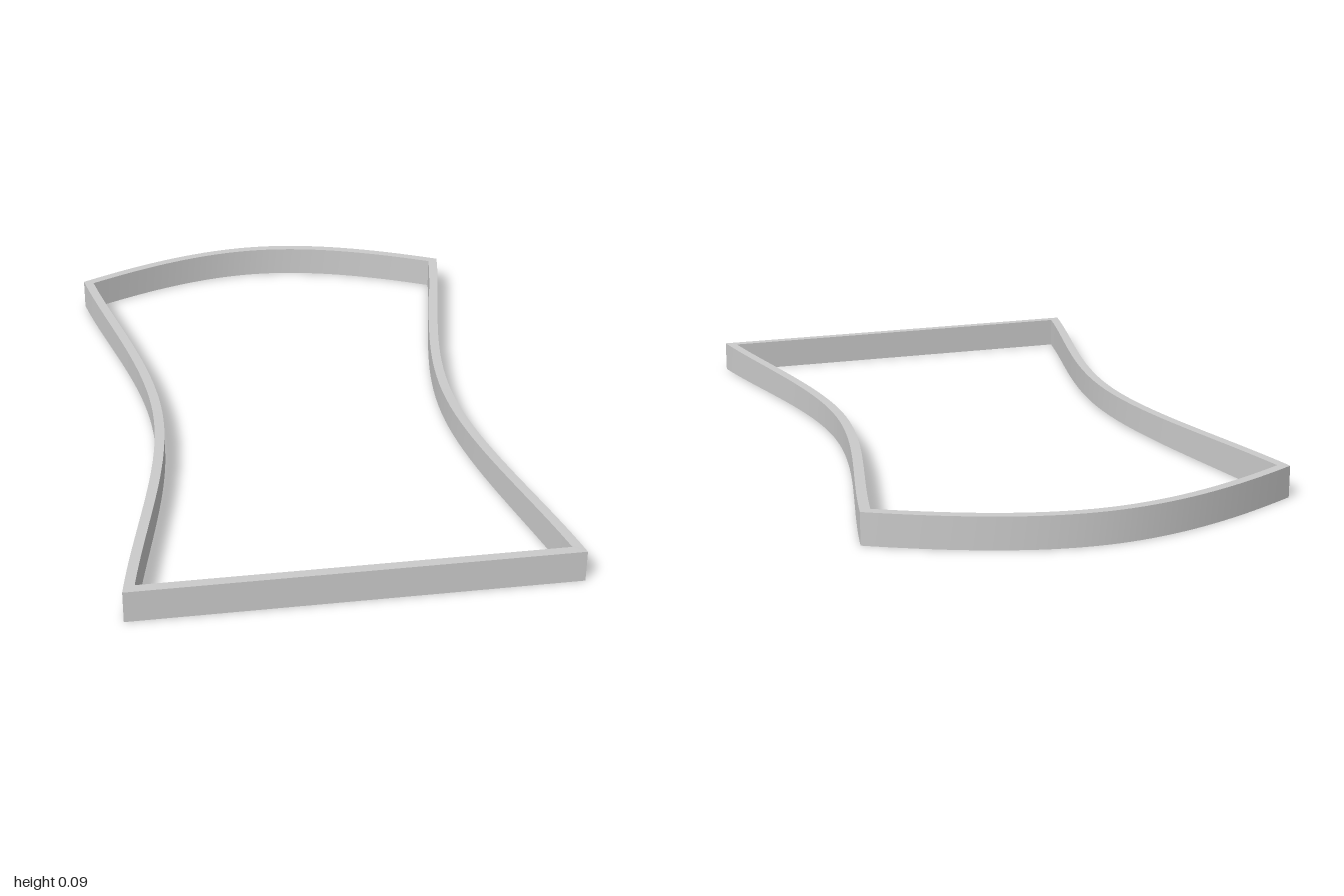
import * as THREE from 'three';
import { toCreasedNormals } from 'three/addons/utils/BufferGeometryUtils.js';

const HEIGHT = 0.09, WALL = 0.028, WAIST_DROP = 0.016, STEPS = 40;

// 1 at both ends of a side, easing to 0 in its middle; k straightens the ends
const bow = (u, k) => {
  const t = 1 - Math.abs(2 * u - 1);
  return (1 - t) ** 2 * (1 + k * t);
};

// Outer outline of each side, counter-clockwise seen from above: [x, z, height]
const rail = (side, u, z) => {
  const f = bow(u, 1);
  return [side * (0.447 + 0.153 * f), z, HEIGHT - WAIST_DROP * (1 - f)];
};
const sides = [
  { name: 'leftRail', n: STEPS, at: u => rail(1, u, 1 - 1.81 * u) },
  { name: 'backArch', n: STEPS, at: u => [0.6 - 1.2 * u, -1 + 0.19 * bow(u, 0.3), HEIGHT] },
  { name: 'rightRail', n: STEPS, at: u => rail(-1, u, -0.81 + 1.81 * u) },
  { name: 'frontBar', n: 1, at: u => [-0.6 + 1.2 * u, 1, HEIGHT] },
];

// Four corners of the bar at a loop point, with the inner wall mitred
function section(loop, i) {
  const n = loop.length;
  const [p, q, r] = [loop[(i + n - 1) % n], loop[i % n], loop[(i + 1) % n]];
  const inward = (a, b) => new THREE.Vector2(b[1] - a[1], a[0] - b[0]).normalize();
  const before = inward(p, q);
  const miter = before.clone().add(inward(q, r)).normalize();
  miter.multiplyScalar(WALL / miter.dot(before));
  const [x, z, h] = q;
  const lo = (HEIGHT - h) / 2, hi = (HEIGHT + h) / 2;
  const ix = x + miter.x, iz = z + miter.y;
  return [[x, lo, z], [x, hi, z], [ix, hi, iz], [ix, lo, iz]];
}

// Skin consecutive sections with quads
function skin(sections) {
  const pos = [];
  for (let i = 0; i + 1 < sections.length; i++) {
    const [s, t] = [sections[i], sections[i + 1]];
    for (let k = 0; k < 4; k++) {
      const m = (k + 1) % 4;
      pos.push(...s[k], ...t[k], ...t[m], ...s[k], ...t[m], ...s[m]);
    }
  }
  const geo = new THREE.BufferGeometry();
  geo.setAttribute('position', new THREE.Float32BufferAttribute(pos, 3));
  return toCreasedNormals(geo, Math.PI / 6);
}

export function createModel() {
  const group = new THREE.Group();
  group.name = 'frame';
  const material = new THREE.MeshStandardMaterial({ color: 0xcccccc });

  // Closed outline of all four sides
  const loop = [];
  for (const s of sides) for (let i = 0; i < s.n; i++) loop.push(s.at(i / s.n));

  // One mesh per side, meeting at the mitred corners
  let start = 0;
  for (const s of sides) {
    const sections = [];
    for (let i = 0; i <= s.n; i++) sections.push(section(loop, start + i));
    const mesh = new THREE.Mesh(skin(sections), material);
    mesh.name = s.name;
    group.add(mesh);
    start += s.n;
  }
  return group;
}
